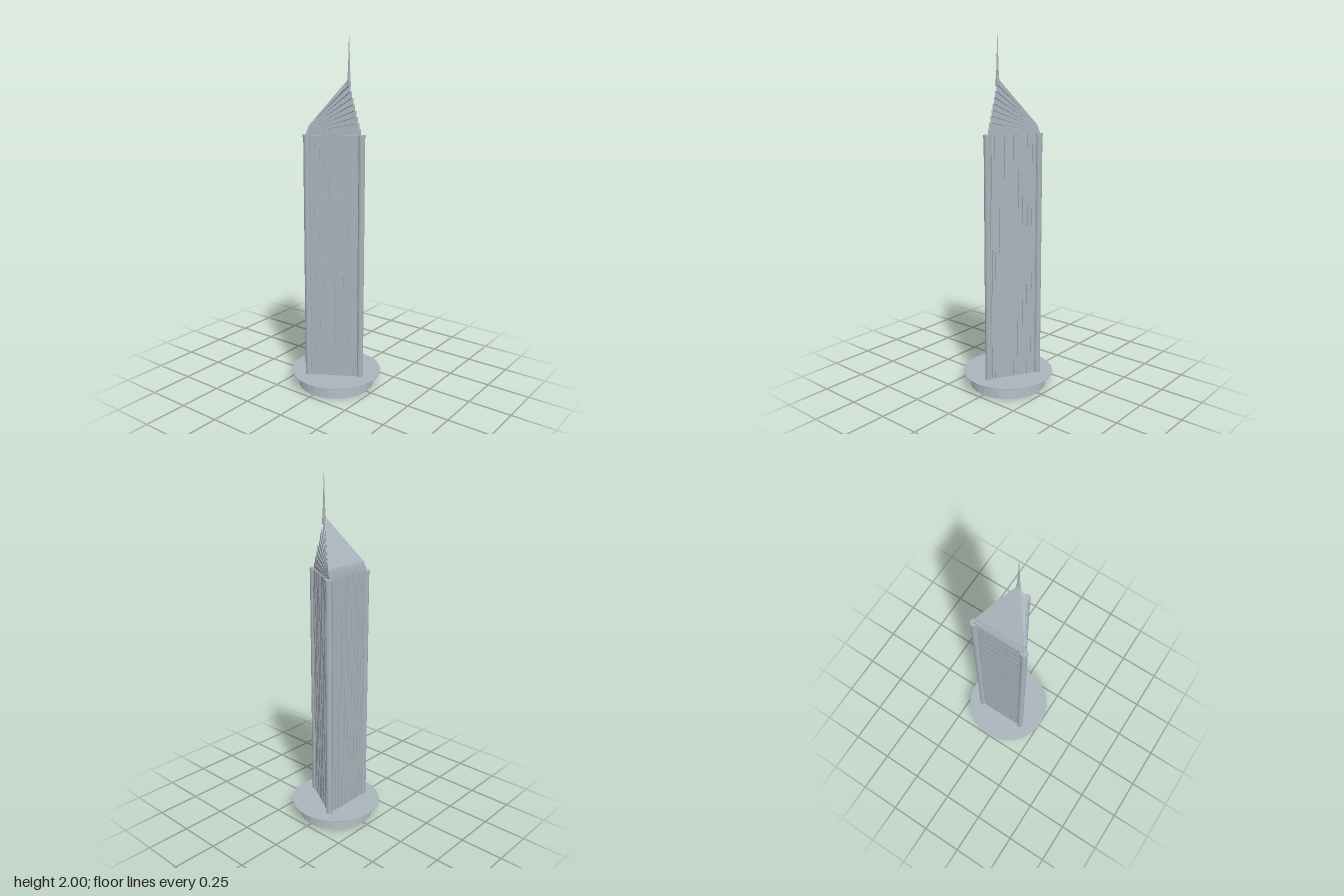
import * as THREE from 'three';

const steel = new THREE.MeshStandardMaterial({ color: 0xa9b4bc, flatShading: true });
steel.name = 'blue grey steel';

const FOOT = 0.08, TOP = 1.48, RADIUS = 0.173;
const HEIGHT = TOP - FOOT, MID = (TOP + FOOT) / 2;

function add(parent, name, geometry, x = 0, y = 0, z = 0) {
  const mesh = new THREE.Mesh(geometry, steel);
  mesh.name = name;
  mesh.position.set(x, y, z);
  parent.add(mesh);
  return mesh;
}

// Three-sided prism between a lower and an upper triangle, [front, back +z, back -z]
function wedge(lower, upper) {
  const [a, b, c] = lower, [d, e, f] = upper;
  const faces = [d, f, e, a, b, c];
  for (const [p, q, r, s] of [[b, a, d, e], [a, c, f, d], [c, b, e, f]]) {
    faces.push(p, q, r, p, r, s);
  }
  const geometry = new THREE.BufferGeometry();
  geometry.setAttribute('position', new THREE.Float32BufferAttribute(faces.flat(), 3));
  geometry.computeVertexNormals();
  return geometry;
}

export function createModel() {
  const model = new THREE.Group();
  model.name = 'triangularTower';

  // Round foot and thin plaza
  add(model, 'foot', new THREE.CylinderGeometry(0.205, 0.22, FOOT, 28), 0, FOOT / 2, 0);
  add(model, 'plaza', new THREE.CylinderGeometry(0.263, 0.263, 0.004, 28), 0, FOOT + 0.001, 0);

  // Triangular core
  const corner = (i, r, y) => {
    const a = -i * Math.PI * 2 / 3;
    return [Math.cos(a) * r, y, Math.sin(a) * r];
  };
  const ring = (r, y) => [corner(0, r, y), corner(2, r, y), corner(1, r, y)];
  add(model, 'core', wedge(ring(0.178, FOOT), ring(0.178, TOP)));

  for (let i = 0; i < 3; i++) {
    // Corner columns with caps
    const [x, , z] = corner(i, RADIUS, 0);
    add(model, 'column', new THREE.CylinderGeometry(0.018, 0.018, HEIGHT, 16), x, MID, z);
    add(model, 'columnCap', new THREE.CylinderGeometry(0.021, 0.021, 0.012, 16), x, TOP - 0.003, z);

    // Facade, facing local +z before it is turned
    const wall = new THREE.Group();
    wall.name = 'facade';
    wall.rotation.y = Math.PI / 6 + i * Math.PI * 2 / 3;
    model.add(wall);
    const panel = new THREE.BoxGeometry(0.125, HEIGHT, 0.004);
    for (const side of [-1, 1]) {
      add(wall, 'wallPanel', panel, side * 0.0635, MID, 0.0915);
    }
    // Shallow upright mullions and floor bands
    for (let k = -4; k <= 4; k++) {
      add(wall, 'mullion', new THREE.BoxGeometry(0.0025, HEIGHT, 0.003), k * 0.027, MID, 0.094);
    }
    for (let k = 0; k < 19; k++) {
      add(wall, 'floorBand', new THREE.BoxGeometry(0.24, 0.004, 0.002), 0, 0.13 + k * 0.0725, 0.094);
    }
  }

  // Sloped crown: stepped wedges fanning up from the low back edge
  const crown = new THREE.Group();
  crown.name = 'crown';
  model.add(crown);
  const STEPS = 9, mix = THREE.MathUtils.lerp;
  for (let i = 0; i < STEPS; i++) {
    const inset = i / (STEPS - 1);
    const section = t => {
      const backX = mix(-0.092, -0.077, inset), backY = mix(TOP, 1.53, t), backZ = mix(0.152, 0.143, inset);
      return [
        [mix(0.166, 0.086, inset), mix(TOP, 1.78, t), 0],
        [backX, backY, backZ],
        [backX, backY, -backZ],
      ];
    };
    add(crown, 'crownStep', wedge(section(i / STEPS), section((i + 1) / STEPS)));
  }

  // Needle spire
  const profile = [[0, 1.72], [0.011, 1.74], [0.009, 1.78], [0.006, 1.83], [0.0035, 1.91], [0.0015, 2], [0, 2]]
    .map(([r, y]) => new THREE.Vector2(r, y));
  add(model, 'spire', new THREE.LatheGeometry(profile, 10), 0.086, 0, 0);

  return model;
}
